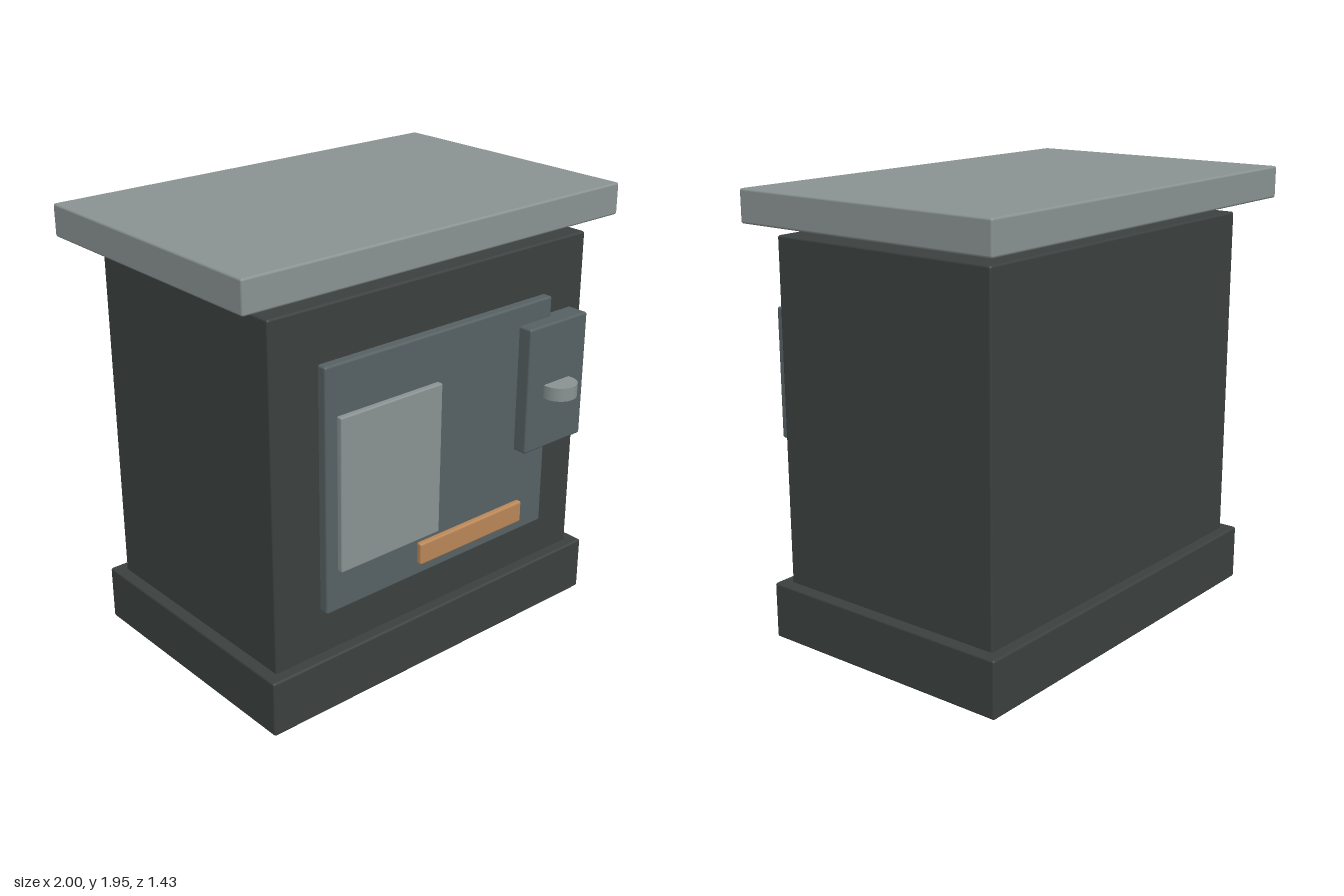
import * as THREE from 'three';
import { RoundedBoxGeometry } from 'three/addons/geometries/RoundedBoxGeometry.js';

function material(name, color) {
  const m = new THREE.MeshStandardMaterial({ color });
  m.name = name;
  return m;
}

export function createModel() {
  const group = new THREE.Group();
  group.name = 'stove';

  const iron = material('dark iron', 0x3b4140);
  const steel = material('slate steel', 0x566163);
  const stone = material('pale grey', 0x8a9292);
  const copper = material('copper', 0xb98758);

  // Softly bevelled block given by its extents on each axis
  function block(name, mat, [x0, x1], [y0, y1], [z0, z1], bevel = 0.01) {
    const mesh = new THREE.Mesh(
      new RoundedBoxGeometry(x1 - x0, y1 - y0, z1 - z0, 2, bevel), mat);
    mesh.position.set((x0 + x1) / 2, (y0 + y1) / 2, (z0 + z1) / 2);
    mesh.name = name;
    group.add(mesh);
  }

  // Cabinet: plinth, body and floating top slab
  block('plinth', iron, [-0.91, 0.91], [0, 0.25], [-0.645, 0.565]);
  block('body', iron, [-0.857, 0.857], [0.24, 1.75], [-0.593, 0.513]);
  block('topSlab', stone, [-1, 1], [1.808, 1.948], [-0.718, 0.563]);

  // Door with its pane, handle bar and latch
  block('door', steel, [-0.626, 0.622], [0.45, 1.52], [0.5, 0.555]);
  block('pane', stone, [-0.588, -0.058], [0.65, 1.32], [0.573, 0.603], 0.007);
  block('handleBar', copper, [-0.16, 0.442], [0.524, 0.625], [0.573, 0.603], 0.01);
  block('latchPlate', steel, [0.428, 0.78], [0.86, 1.43], [0.515, 0.62]);

  // Round latch knob, half sunk into the plate
  const knob = new THREE.Mesh(new THREE.CylinderGeometry(0.08, 0.08, 0.06, 24), stone);
  knob.position.set(0.604, 1.128, 0.636);
  knob.name = 'latchKnob';
  group.add(knob);

  return group;
}
